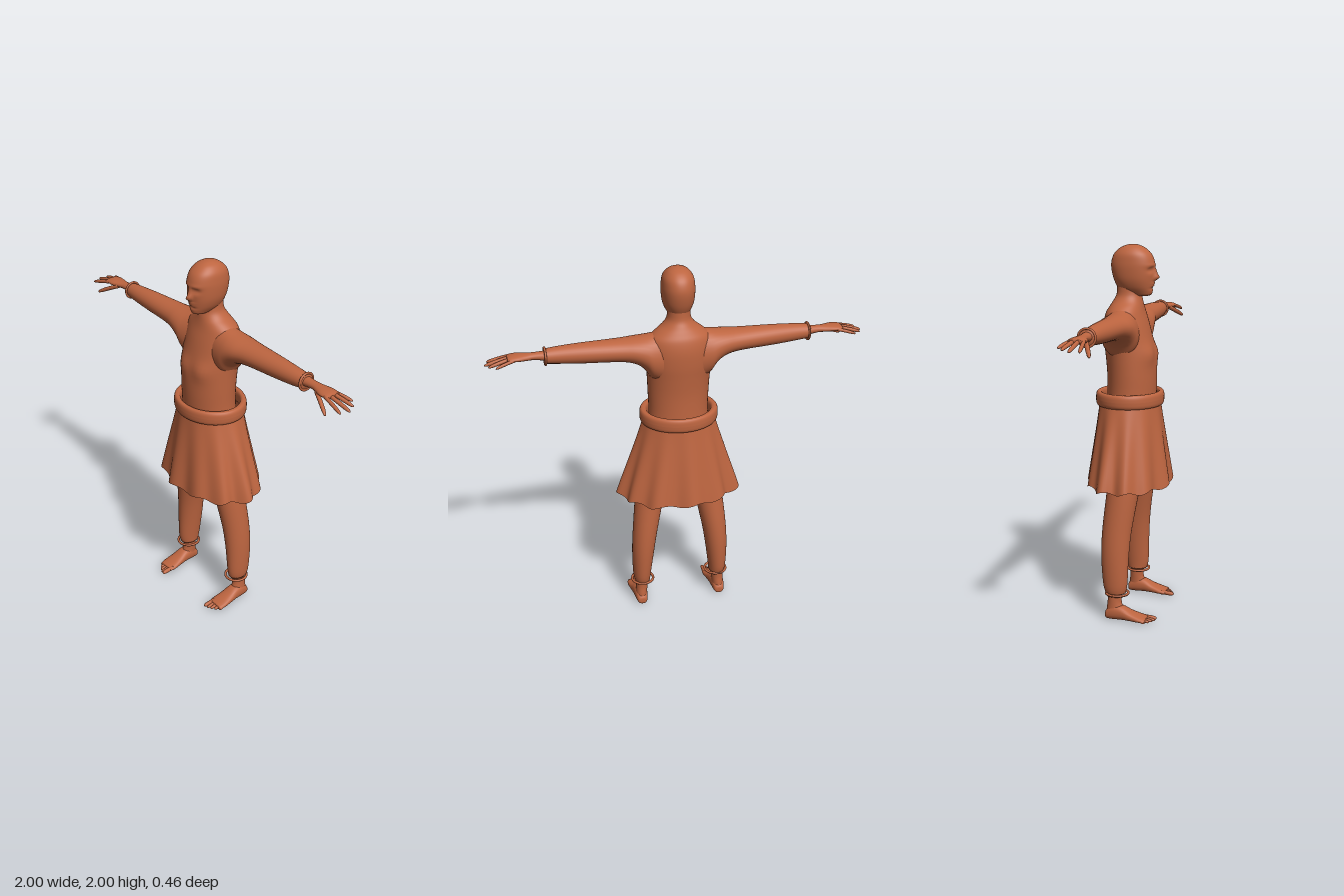
import * as THREE from 'three';

// Catmull-Rom interpolation between rows of section numbers
function refine(rows, steps) {
  const out = [];
  const at = (i) => rows[Math.min(Math.max(i, 0), rows.length - 1)];
  for (let i = 0; i < rows.length - 1; i++) {
    for (let s = 0; s < steps; s++) {
      const t = s / steps;
      out.push(rows[i].map((p1, k) => {
        const p0 = at(i - 1)[k], p2 = at(i + 1)[k], p3 = at(i + 2)[k];
        return p1 + 0.5 * t * (p2 - p0 + t * (2 * p0 - 5 * p1 + 4 * p2 - p3 + t * (3 * (p1 - p2) + p3 - p0)));
      }));
    }
  }
  out.push(rows[rows.length - 1]);
  return out;
}

// Section plane to world, for lofts running along each axis
const alongX = (u, t, v) => [t, v, u];
const alongY = (u, t, v) => [u, t, v];
const alongZ = (u, t, v) => [v, u, t];

// Skin rounded sections; row = [t, uLow, uHigh, vLow, vHigh]
function loft(rows, { map = alongY, seg = 32, steps = 4, power = 1, closed = true, warp = null } = {}) {
  const list = refine(rows, steps);
  if (closed) {
    const flat = (r) => [r[0], (r[1] + r[2]) / 2, (r[1] + r[2]) / 2, (r[3] + r[4]) / 2, (r[3] + r[4]) / 2];
    list.unshift(flat(list[0]));
    list.push(flat(list[list.length - 1]));
  }
  const bend = (c) => Math.sign(c) * Math.abs(c) ** power;
  const pos = [], index = [];
  list.forEach(([t, u0, u1, v0, v1], i) => {
    for (let j = 0; j < seg; j++) {
      const a = (j / seg) * Math.PI * 2;
      let p = map((u0 + u1) / 2 + ((u1 - u0) / 2) * bend(Math.cos(a)), t,
        (v0 + v1) / 2 + ((v1 - v0) / 2) * bend(Math.sin(a)));
      if (warp) p = warp(p, a);
      pos.push(...p);
      if (i < list.length - 1) {
        const k = (j + 1) % seg, n = i * seg;
        index.push(n + j, n + seg + j, n + k, n + k, n + seg + j, n + seg + k);
      }
    }
  });
  const g = new THREE.BufferGeometry();
  g.setAttribute('position', new THREE.Float32BufferAttribute(pos, 3));
  g.setIndex(index);
  g.computeVertexNormals();
  return g;
}

// Tapered round-ended digit between two points; u and v follow the map's axes
function digit([t0, u0, v0], [t1, u1, v1], r, map) {
  const profile = [[0, 1], [0.3, 0.95], [0.6, 0.95], [0.85, 0.8], [0.96, 0.5], [1, 0.1]];
  return loft(profile.map(([f, w]) => {
    const u = u0 + (u1 - u0) * f, v = v0 + (v1 - v0) * f - 0.006 * f * f + 0.006 * f;
    return [t0 + (t1 - t0) * f, u - r * w, u + r * w, v - r * w, v + r * w];
  }), { map, seg: 12, steps: 2 });
}

function mirrored(geo) {
  const g = geo.clone();
  g.scale(-1, 1, 1);
  const ix = g.index.array;
  for (let i = 0; i < ix.length; i += 3) [ix[i], ix[i + 1]] = [ix[i + 1], ix[i]];
  g.computeVertexNormals();
  return g;
}

const bump = (x, y, cx, cy, sx, sy) => Math.exp(-(((x - cx) / sx) ** 2) - ((y - cy) / sy) ** 2);

export function createModel() {
  const model = new THREE.Group();
  model.name = 'figure';
  const clay = new THREE.MeshStandardMaterial({ color: 0xbd6540 });
  clay.name = 'terracotta';
  const cloth = clay.clone();
  cloth.name = 'terracotta cloth';
  cloth.side = THREE.DoubleSide;
  const add = (name, geo, mat = clay) => {
    const m = new THREE.Mesh(geo, mat);
    m.name = name;
    model.add(m);
  };
  const pair = (name, geo) => {
    add('left' + name, geo);
    add('right' + name, mirrored(geo));
  };
  const sym = (rows) => rows.map(([y, w, b, f]) => [y, -w, w, b, f]);

  // Torso and neck, with a soft chest
  add('torso', loft(sym([
    [0.78, 0.11, -0.09, 0.09], [0.9, 0.175, -0.125, 0.125], [1.05, 0.172, -0.125, 0.13],
    [1.2, 0.16, -0.12, 0.14], [1.32, 0.163, -0.12, 0.142], [1.42, 0.168, -0.128, 0.135],
    [1.5, 0.175, -0.136, 0.118], [1.58, 0.172, -0.137, 0.098], [1.64, 0.16, -0.126, 0.08],
    [1.675, 0.125, -0.108, 0.072], [1.705, 0.085, -0.09, 0.067], [1.74, 0.062, -0.073, 0.062],
    [1.8, 0.058, -0.07, 0.06],
  ]), {
    seg: 48,
    warp: ([x, y, z]) => [x, y, z > 0 ? z + 0.014 * bump(Math.abs(x), y, 0.075, 1.43, 0.05, 0.05) : z],
  }));

  // Head with brow, eye sockets, nose and mouth
  add('head', loft(sym([
    [1.73, 0.02, 0.03, 0.09], [1.737, 0.036, 0, 0.112], [1.752, 0.05, -0.05, 0.12],
    [1.78, 0.067, -0.07, 0.123], [1.82, 0.08, -0.088, 0.128], [1.87, 0.085, -0.1, 0.132],
    [1.91, 0.084, -0.1, 0.13], [1.95, 0.077, -0.085, 0.113], [1.98, 0.056, -0.054, 0.08],
    [1.995, 0.03, -0.02, 0.048], [2, 0.008, 0.005, 0.02],
  ]), {
    seg: 64, steps: 6, power: 0.92,
    warp: ([x, y, z]) => {
      if (z < 0.04) return [x, y, z];
      const ax = Math.abs(x);
      return [x, y, z
        + 0.026 * bump(x, y, 0, 1.828, 0.013, 0.016) + 0.014 * bump(x, y, 0, 1.855, 0.009, 0.024)
        - 0.014 * bump(ax, y, 0.034, 1.868, 0.019, 0.013) + 0.005 * bump(ax, y, 0.034, 1.868, 0.011, 0.006)
        + 0.004 * bump(ax, y, 0.03, 1.892, 0.03, 0.009)
        + 0.008 * bump(x, y, 0, 1.798, 0.022, 0.006) + 0.007 * bump(x, y, 0, 1.785, 0.02, 0.005)
        - 0.005 * bump(x, y, 0, 1.772, 0.025, 0.006)];
    },
  }));

  // Sleeved arms, flared where they join the body
  pair('Arm', loft([
    [0.07, -0.11, 0.075, 1.38, 1.675], [0.15, -0.118, 0.085, 1.42, 1.662], [0.19, -0.113, 0.083, 1.475, 1.656],
    [0.24, -0.104, 0.075, 1.512, 1.652], [0.32, -0.09, 0.06, 1.529, 1.648], [0.5, -0.072, 0.045, 1.538, 1.644],
    [0.62, -0.06, 0.035, 1.547, 1.638], [0.7, -0.054, 0.024, 1.556, 1.631],
  ], { map: alongX }));

  // Hands
  pair('Hand', loft([
    [0.68, -0.045, 0.016, 1.57, 1.622], [0.75, -0.038, 0.012, 1.58, 1.618], [0.79, -0.043, 0.022, 1.58, 1.617],
    [0.83, -0.051, 0.036, 1.581, 1.617], [0.865, -0.052, 0.036, 1.584, 1.614], [0.885, -0.044, 0.03, 1.588, 1.608],
  ], { map: alongX, seg: 24 }));
  [
    [[0.85, -0.042, 1.597], [0.947, -0.072, 1.575], 0.0095],
    [[0.86, -0.021, 1.6], [0.982, -0.042, 1.572], 0.0105],
    [[0.86, 0.003, 1.6], [1.0, -0.002, 1.566], 0.011],
    [[0.86, 0.026, 1.598], [0.985, 0.045, 1.565], 0.0105],
    [[0.79, 0.012, 1.592], [0.912, 0.068, 1.533], 0.013],
  ].forEach(([from, to, r], i) => pair(i < 4 ? 'Finger' + (i + 1) : 'Thumb', digit(from, to, r, alongX)));

  // Bracelets and anklets
  const bracelet = new THREE.TorusGeometry(0.044, 0.006, 10, 40);
  bracelet.rotateY(Math.PI / 2).translate(0.695, 1.593, -0.015);
  pair('Bracelet', bracelet);
  const anklet = new THREE.TorusGeometry(0.06, 0.007, 10, 40);
  anklet.rotateX(Math.PI / 2).translate(0.215, 0.147, -0.012);
  pair('Anklet', anklet);

  // Trouser legs
  pair('Leg', loft([
    [0.15, 0.175, 0.262, -0.075, 0.035], [0.2, 0.17, 0.27, -0.088, 0.045], [0.35, 0.15, 0.273, -0.1, 0.05],
    [0.5, 0.125, 0.264, -0.098, 0.062], [0.72, 0.075, 0.24, -0.082, 0.095], [0.85, 0.02, 0.215, -0.09, 0.105],
    [0.98, 0.0, 0.18, -0.09, 0.1],
  ]));

  // Feet
  pair('Ankle', loft([
    [0.03, 0.192, 0.262, -0.07, 0.04], [0.07, 0.193, 0.258, -0.066, 0.024],
    [0.11, 0.19, 0.256, -0.062, 0.014], [0.17, 0.185, 0.255, -0.065, 0.02],
  ], { seg: 24 }));
  pair('Foot', loft([
    [-0.074, 0.014, 0.04, 0.213, 0.24], [-0.066, 0.005, 0.056, 0.2, 0.254], [-0.03, 0.002, 0.085, 0.192, 0.263],
    [0.02, 0.004, 0.082, 0.188, 0.268], [0.07, 0.004, 0.057, 0.182, 0.274], [0.12, 0.003, 0.038, 0.176, 0.278],
    [0.155, 0.004, 0.028, 0.18, 0.272],
  ], { map: alongZ, seg: 24, power: 0.85 }));
  for (let i = 0; i < 5; i++) {
    const x = 0.192 + 0.0185 * i, r = i ? 0.0095 : 0.013;
    pair('Toe' + (i + 1), digit([0.13, 0.018, x], [0.203 - 0.003 * i - 0.0022 * i * i, r + 0.001, x], r, alongZ));
  }

  // Pleated skirt with a wavy hem
  add('skirt', loft([
    [1.19, -0.185, 0.185, -0.16, 0.16], [1.1, -0.212, 0.212, -0.17, 0.17], [0.95, -0.257, 0.26, -0.19, 0.19],
    [0.8, -0.3, 0.307, -0.21, 0.21], [0.722, -0.32, 0.328, -0.22, 0.22],
  ], {
    seg: 144, closed: false,
    warp: ([x, y, z], a) => {
      const f = (1.19 - y) / 0.468;
      const k = 1 + f * (0.05 * Math.sin(11 * a + 0.9) + 0.025 * Math.sin(7 * a + 2));
      return [x * k, y + 0.009 * f * f * Math.sin(11 * a + 2), z * k];
    },
  }), cloth);

  // Thick rolled belt
  const section = [];
  for (let i = 0; i <= 24; i++) {
    const a = (i / 24) * Math.PI * 2, c = Math.cos(a), s = Math.sin(a);
    section.push(new THREE.Vector2(0.191 + 0.02 * Math.sign(c) * Math.abs(c) ** 0.7,
      1.188 + 0.038 * Math.sign(s) * Math.abs(s) ** 0.7));
  }
  const belt = new THREE.LatheGeometry(section, 64);
  belt.scale(1, 1, 0.86);
  add('belt', belt, cloth);

  return model;
}
